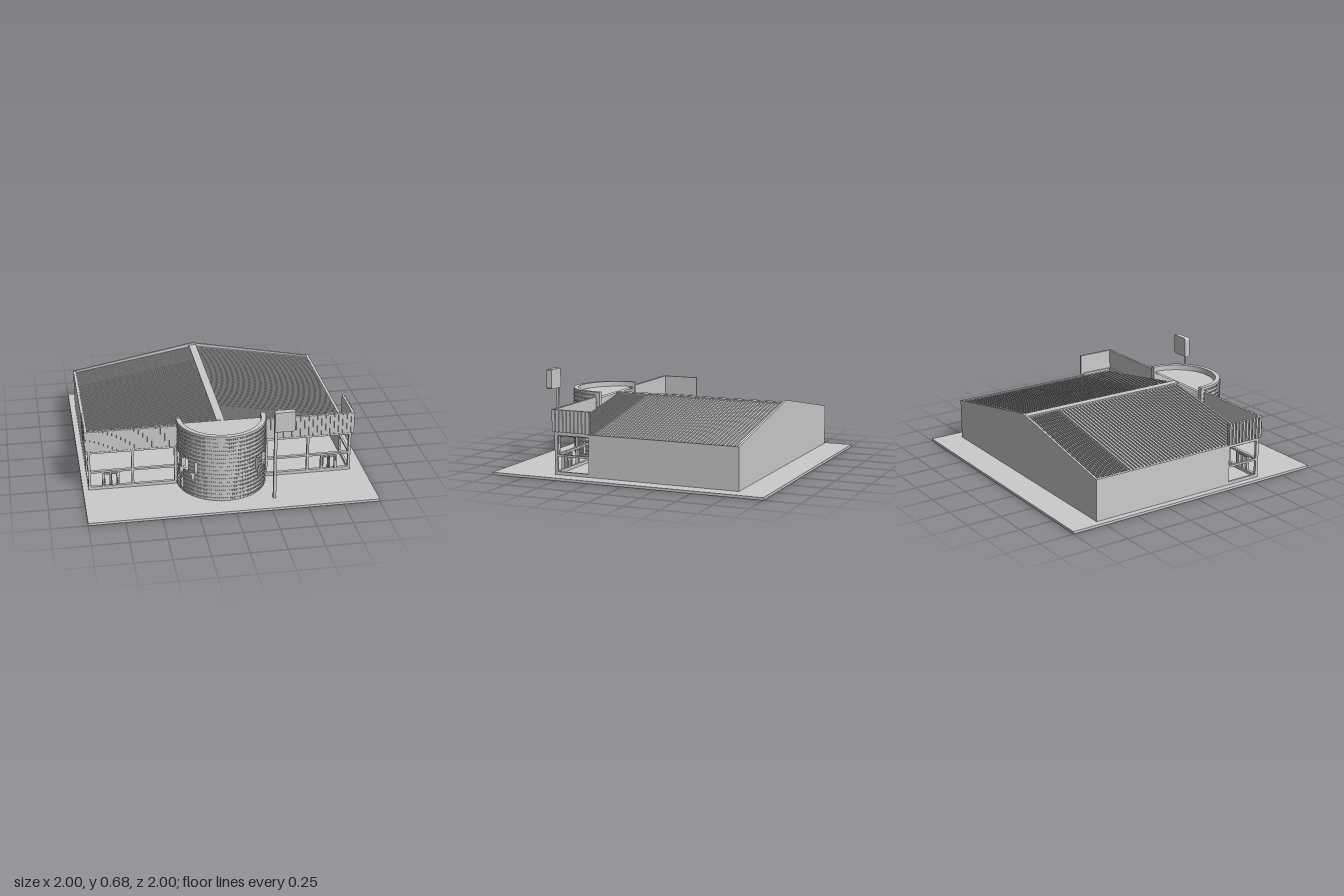
import * as THREE from 'three';
import { mergeGeometries } from 'three/addons/utils/BufferGeometryUtils.js';

const grey = new THREE.MeshStandardMaterial({ color: 0xcccccc, side: THREE.DoubleSide });
const CX = -0.03;    // centre line of the building
const HALF = 0.93;   // half width of the building

// Box given by its extents
function block(x0, x1, y0, y1, z0, z1) {
  return new THREE.BoxGeometry(x1 - x0, y1 - y0, z1 - z0)
    .translate((x0 + x1) / 2, (y0 + y1) / 2, (z0 + z1) / 2);
}

function part(name, geometries) {
  const mesh = new THREE.Mesh(geometries.length > 1 ? mergeGeometries(geometries) : geometries[0], grey);
  mesh.name = name;
  return mesh;
}

// Side walls and gabled back wall
function walls() {
  const gable = new THREE.Shape([[-HALF, 0.02], [HALF, 0.02], [HALF, 0.315], [0, 0.49], [-HALF, 0.315]]
    .map(([x, y]) => new THREE.Vector2(x, y)));
  const back = new THREE.ExtrudeGeometry(gable, { depth: 0.015, bevelEnabled: false }).translate(CX, 0, -0.795);
  const g = new THREE.Group();
  g.name = 'walls';
  g.add(part('backWall', [back]));
  for (const s of [-1, 1]) {
    const x = CX + s * (HALF - 0.0075);
    g.add(part('sideWall', [block(x - 0.0075, x + 0.0075, 0.02, 0.31, -0.785, 0.3)]));
  }
  return g;
}

// One roof slope: slab with raised ribs running from ridge to eave
function roofSlope(side) {
  const eave = 0.3, ridge = 0.462, run = 0.92;
  const len = Math.hypot(run, ridge - eave);
  const pieces = [block(0, len, -0.012, 0, -0.78, 0.53)];
  for (let z = -0.77; z < 0.52; z += z < 0.27 ? 0.0275 : 0.0165) {
    const w = z < 0.27 ? 0.014 : 0.008;
    pieces.push(block(0, len, 0, 0.009, z, z + w));
  }
  const geo = mergeGeometries(pieces).rotateZ(-Math.atan2(ridge - eave, run));
  if (side < 0) {
    // half turn keeps the winding; shift z back into place
    geo.rotateY(Math.PI).translate(0, 0, -0.25);
  }
  return part('roofSlope', [geo.translate(CX, ridge, 0)]);
}

// Panel along x from 0 to length, ribbed on its +z side
function ribbedPanel(length) {
  const pieces = [block(0, length, 0.32, 0.475, -0.022, -0.008)];
  const n = Math.round(length / 0.03);
  const step = length / n;
  for (let i = 0; i < n; i++)
    pieces.push(block((i + 0.2) * step, (i + 0.8) * step, 0.32, 0.475, -0.008, 0));
  return mergeGeometries(pieces);
}

// Fascia on the front, returning along both sides
function fascia() {
  const g = new THREE.Group();
  g.name = 'fascia';
  g.add(part('frontFasciaRight', [ribbedPanel(0.635).translate(-0.975, 0, 0.575)]));
  g.add(part('frontFasciaLeft', [ribbedPanel(0.635).translate(0.28, 0, 0.575)]));
  g.add(part('sideFasciaLeft', [ribbedPanel(0.29).rotateY(Math.PI / 2).translate(0.917, 0, 0.57)]));
  g.add(part('sideFasciaRight', [ribbedPanel(0.29).rotateY(-Math.PI / 2).translate(-0.977, 0, 0.28)]));
  return g;
}

// Open window framing with double doors, made for one side and mirrored
function shopfront(s) {
  const X = (a, b, y0, y1, z0, z1) => {
    const p = CX + s * a, q = CX + s * b;
    return block(Math.min(p, q), Math.max(p, q), y0, y1, z0, z1);
  };
  const pieces = [];
  const z0 = 0.538, z1 = 0.56;
  for (const [a, b] of [[0.31, 0.33], [0.612, 0.628], [0.912, 0.93]])
    pieces.push(X(a, b, 0.02, 0.33, z0, z1));
  for (const [y0, y1] of [[0.02, 0.042], [0.148, 0.162], [0.3, 0.33]]) {
    pieces.push(X(0.31, 0.93, y0, y1, z0, z1));
    pieces.push(X(0.914, 0.93, y0, y1, 0.3, z1));
  }
  for (const a of [0.714, 0.822]) pieces.push(X(a, a + 0.012, 0.02, 0.15, z0, z1));
  // door leaves
  for (const a of [0.728, 0.776]) {
    pieces.push(X(a, a + 0.007, 0.02, 0.14, 0.545, 0.562), X(a + 0.037, a + 0.044, 0.02, 0.14, 0.545, 0.562));
    pieces.push(X(a, a + 0.044, 0.133, 0.14, 0.545, 0.562));
  }
  return part('shopfrontFrame', pieces);
}

// Half-round entrance tower with pierced wall and rows of small studs
function tower() {
  const R = 0.311, T = 0.033, cz = 0.545, top = 0.51;
  const step = 5 * Math.PI / 180;
  // openings by distance from the front in degrees: bottom and top heights
  const openings = {
    40: [[0.2, 0.29]], 45: [[0.14, 0.2]], 55: [[0.2, 0.29]], 60: [[0.2, 0.29]],
    65: [[0.04, 0.13], [0.16, 0.28]], 70: [[0.14, 0.2]], 75: [[0.04, 0.13], [0.2, 0.29]], 80: [[0.14, 0.29]],
  };
  const wall = [], studs = [];
  for (let i = -18; i < 18; i++) {
    const angle = (i + 0.5) * step;
    const holes = openings[i >= 0 ? i * 5 : (-i - 1) * 5] || [];
    const place = (geo) => geo.rotateY(angle).translate(CX, 0, cz);
    const w = R * Math.tan(step / 2);
    let y = 0.02;
    for (const [a, b] of [...holes, [top, top]]) {
      wall.push(place(block(-w, w, y, a, R - T, R)));
      y = b;
    }
    for (let row = 0; row < 16; row++) {
      const y0 = 0.032 + row * 0.03;
      if (holes.some(([a, b]) => y0 + 0.012 > a && y0 < b)) continue;
      for (const x of [-w * 0.5, w * 0.5])
        studs.push(place(block(x - 0.0035, x + 0.0035, y0, y0 + 0.012, R - 0.002, R + 0.005)));
    }
  }
  // straight ends running back to the roof
  for (const s of [-1, 1]) {
    const x = CX + s * (R - T / 2);
    wall.push(block(x - T / 2, x + T / 2, 0.02, top, 0.525, cz));
  }
  const g = new THREE.Group();
  g.name = 'entranceTower';
  const roof = new THREE.CylinderGeometry(R - T, R - T, 0.012, 36, 1, false, -Math.PI / 2, Math.PI)
    .translate(CX, 0.468, cz - 0.01);
  g.add(part('towerWall', wall), part('towerStuds', studs), part('towerRoof', [roof]));
  return g;
}

// Roadside sign on a post
function sign() {
  const w = 0.14, h = 0.145, r = 0.022;
  const s = new THREE.Shape();
  s.moveTo(0, 0);
  s.lineTo(w - r, 0);
  s.quadraticCurveTo(w, 0, w, r);
  s.lineTo(w, h - 0.004);
  s.lineTo(w - 0.004, h);
  s.lineTo(r, h);
  s.quadraticCurveTo(0, h, 0, h - r);
  s.closePath();
  const panel = new THREE.ExtrudeGeometry(s, { depth: 0.042, bevelEnabled: false }).translate(0.28, 0.53, 0.842);
  const g = new THREE.Group();
  g.name = 'sign';
  g.add(part('signPanel', [panel]), part('signPost', [block(0.28, 0.3, 0.02, 0.54, 0.853, 0.873)]));
  return g;
}

export function createModel() {
  const model = new THREE.Group();
  model.name = 'shopBuilding';
  model.add(part('ground', [block(-1, 1, 0, 0.018, -1, 1)]));
  model.add(walls(), roofSlope(1), roofSlope(-1));
  model.add(part('ridgeCap', [block(CX - 0.028, CX + 0.028, 0.458, 0.474, -0.785, 0.53)]));
  // edge beams along the eaves
  for (const s of [-1, 1]) {
    const x = CX + s * 0.92;
    model.add(part('eaveBeam', [block(x - 0.01, x + 0.01, 0.295, 0.315, -0.785, 0.55)]));
    model.add(shopfront(s));
  }
  model.add(fascia(), tower(), sign());
  return model;
}
